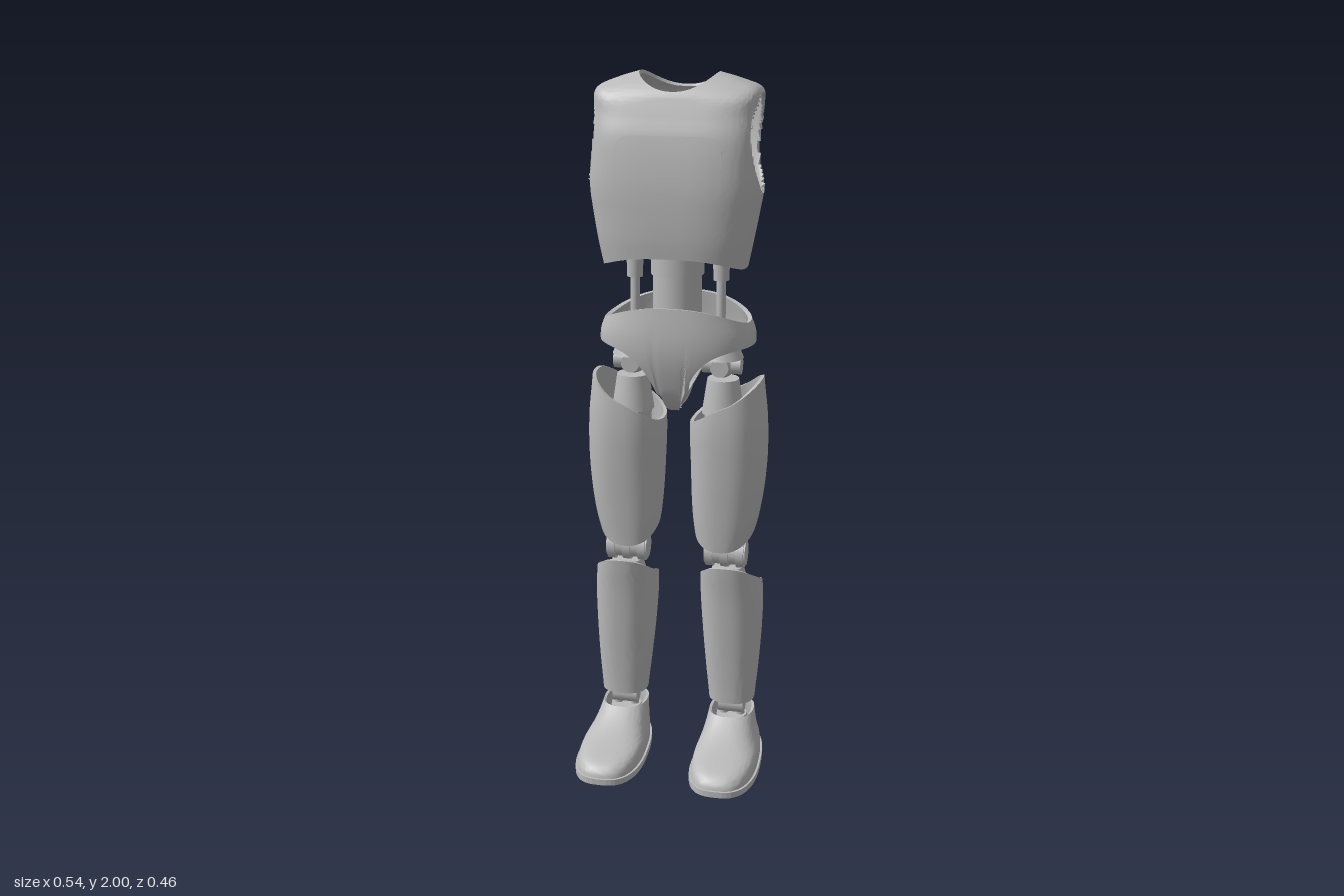
import * as THREE from 'three';
import { toCreasedNormals } from 'three/addons/utils/BufferGeometryUtils.js';

const grey = new THREE.MeshStandardMaterial({ color: 0xbababa });
grey.name = 'plain grey';

function mesh(parent, name, geometry, x = 0, y = 0, z = 0) {
  const m = new THREE.Mesh(geometry, grey);
  m.name = name;
  m.position.set(x, y, z);
  parent.add(m);
  return m;
}

// Smooth (Catmull-Rom) lookup in a table of evenly spaced rows, t in 0..1
function sample(rows, t) {
  const last = rows.length - 1;
  const f = THREE.MathUtils.clamp(t, 0, 1) * last;
  const i = Math.min(Math.floor(f), last - 1), k = f - i;
  const [p, q, r, s] = [rows[Math.max(i - 1, 0)], rows[i], rows[i + 1], rows[Math.min(i + 2, last)]];
  return q.map((b, n) => {
    const a = p[n], c = r[n], d = s[n];
    return b + 0.5 * k * (c - a + k * (2 * a - 5 * b + 4 * c - d + k * (3 * (b - c) + d - a)));
  });
}

const pow = (v, n) => Math.sign(v) * Math.pow(Math.abs(v), 2 / n);

// Point on a rounded section: half width a, front zf, back zb, roundness n
function section(angle, cx, a, zf, zb, n) {
  const mid = (zf + zb) / 2, half = (zf - zb) / 2;
  return [cx + a * pow(Math.cos(angle), n), mid + half * pow(Math.sin(angle), n)];
}

// Thick shell from a surface f(angle, v) closed around; vertices inside `hole` are snapped to its edge
function shell(nu, nv, f, thickness, hole = () => false) {
  const pts = [], inside = [], tris = [];
  for (let j = 0; j <= nv; j++) for (let i = 0; i < nu; i++) {
    const p = new THREE.Vector3(...f((i / nu) * Math.PI * 2, j / nv));
    inside.push(hole(p));
    pts.push(p);
  }
  for (let j = 0; j < nv; j++) for (let i = 0; i < nu; i++) {
    const a = j * nu + i, b = j * nu + (i + 1) % nu, c = b + nu, d = a + nu;
    if ([a, b, c, d].every(k => inside[k])) continue;
    tris.push([a, d, b], [b, d, c]);
  }
  const skin = new THREE.BufferGeometry().setFromPoints(pts);
  skin.setIndex(tris.flat());
  skin.computeVertexNormals();
  const normal = skin.attributes.normal, N = pts.length;
  const inner = pts.map((p, i) => new THREE.Vector3().fromBufferAttribute(normal, i).multiplyScalar(-thickness).add(p));
  const index = tris.flat(), edges = new Set();
  for (const t of tris) {
    index.push(t[2] + N, t[1] + N, t[0] + N);
    t.forEach((p, k) => edges.add(p + '_' + t[(k + 1) % 3]));
  }
  // rims join the outer and inner skins along open edges
  for (const e of edges) {
    const [p, q] = e.split('_').map(Number);
    if (!edges.has(q + '_' + p)) index.push(q, p, p + N, q, p + N, q + N);
  }
  const g = new THREE.BufferGeometry().setFromPoints([...pts, ...inner]);
  g.setIndex(index);
  return toCreasedNormals(g, 0.8);
}

const rod = (r0, r1, h) => new THREE.CylinderGeometry(r0, r1, h, 24);
const axle = (r, h) => rod(r, r, h).rotateZ(Math.PI / 2);

// Torso rows: height, half width, front z, back z, roundness, extra height at the sides
const TORSO = [
  [1.520, 0.198, 0.073, -0.165, 2.8, -0.035],
  [1.570, 0.212, 0.078, -0.170, 2.9, -0.015],
  [1.630, 0.225, 0.080, -0.188, 3.0, 0],
  [1.700, 0.234, 0.079, -0.210, 3.3, 0],
  [1.770, 0.230, 0.072, -0.226, 3.8, 0],
  [1.840, 0.226, 0.060, -0.232, 4.2, 0],
  [1.890, 0.223, 0.043, -0.228, 4.2, 0.01],
  [1.925, 0.221, 0.030, -0.218, 4.0, 0.03],
  [1.945, 0.170, 0.022, -0.208, 3.0, 0.036],
  [1.955, 0.108, 0.015, -0.200, 2.2, 0.045],
];

function torsoPoint(angle, v) {
  const [y, a, zf, zb, n, rise] = sample(TORSO, v);
  let [x, z] = section(angle, 0, a, zf, zb, n);
  // shallow groove along the spine
  if (Math.sin(angle) < 0) z += 0.014 * Math.exp(-((x / 0.04) ** 2)) * (1 - v);
  return [x, y + rise * Math.cos(angle) ** 2, z];
}

function armHole(p) {
  if (Math.abs(p.x) < 0.1) return false;
  const r = Math.hypot((p.z + 0.09) / 0.11, (p.y - 1.815) / 0.135);
  if (r >= 1) return false;
  const k = 1 / Math.max(r, 0.01);
  p.z = -0.09 + (p.z + 0.09) * k;
  p.y = 1.815 + (p.y - 1.815) * k;
  return true;
}

function panelPoint(angle, v) {
  const x = 0.143 * v * pow(Math.cos(angle), 7), y = 1.764 + 0.082 * v * pow(Math.sin(angle), 7);
  const [, a, zf, zb, n] = sample(TORSO, (y - 1.49) / 0.07 / 9);
  const half = (zf - zb) / 2;
  return [x, y, zf - half + half * Math.pow(1 - Math.pow(Math.abs(x) / a, n), 1 / n) + 0.005];
}

function floorPoint(angle, v) {
  const r = 1 - v;
  const [x, z] = section(angle, 0, 0.222 * r, -0.055 + 0.125 * r, -0.055 - 0.13 * r, 3);
  return [x, 1.58 + 0.06 * r * r, z];
}

// Pelvis bowl rows: height, scale, extra height at front and back
const PELVIS = [
  [1.060, 0, 0], [1.075, 0.45, 0], [1.120, 0.76, 0], [1.180, 0.92, 0],
  [1.240, 1.01, 0], [1.290, 1.02, 0.01], [1.328, 0.96, 0.052],
];

function bowlPoint(angle, v) {
  const [y, s, rise] = sample(PELVIS, v);
  const [x, z] = section(angle, 0, 0.214 * s, -0.077 + 0.137 * s, -0.077 - 0.137 * s, 2.4);
  return [x, y + rise * Math.sin(angle) ** 2, z];
}

// Each column of the bowl starts at the leg opening
function pelvisPoint(angle, v) {
  const below = ([x, y]) => y < 1.27 - 0.215 * Math.exp(-(Math.abs(x) - 0.016) / 0.05);
  let lo = 0, hi = 1;
  if (below(bowlPoint(angle, 0.02)) || below(bowlPoint(angle, 0.3))) {
    for (let i = 0; i < 24; i++) {
      const m = (lo + hi) / 2;
      if (below(bowlPoint(angle, m))) lo = m; else hi = m;
    }
  }
  return bowlPoint(angle, lo + (1 - lo) * v);
}

// Leg rows: centre x, half width, front z, back z
const THIGH = [
  [0.135, 0.068, 0.015, -0.130], [0.143, 0.095, 0.025, -0.160], [0.148, 0.107, 0.035, -0.192],
  [0.147, 0.108, 0.040, -0.197], [0.150, 0.092, 0.032, -0.185],
];
const SHIN = [
  [0.163, 0.066, -0.025, -0.148], [0.162, 0.077, -0.018, -0.168], [0.160, 0.086, -0.008, -0.192],
  [0.157, 0.090, 0.002, -0.200], [0.152, 0.083, 0.015, -0.165],
];

const legPoint = (rows, y0, y1, bottom, top) => (angle, v) => {
  const c = Math.cos(angle), s = Math.sin(angle);
  const y = THREE.MathUtils.lerp(bottom(c, s), top(c, s), v);
  const [x, z] = section(angle, ...sample(rows, (y - y0) / (y1 - y0)), 2.4);
  return [x, y, z];
};

// Foot outline, narrower at the heel
function footOutline(angle, grow) {
  const [x, z] = section(angle, 0, 0.095 + grow, 0.222 + grow, -0.172 - grow, 2.8);
  return [0.17 + x * (0.91 + 0.09 * THREE.MathUtils.smoothstep(z, -0.15, 0.1)), z];
}

function footPoint(angle, v) {
  const [ox, oz] = footOutline(angle, 0);
  const [rx, rz] = section(angle, 0.163, 0.066, -0.015, -0.165, 2.4);
  const e = Math.pow(v, 1.6);
  const y = 0.018 + 0.045 * (1 - (1 - v) ** 4) + 0.066 * v ** 4;
  return [ox + (rx - ox) * e, y, oz + (rz - oz) * e];
}

function buildLeg() {
  const leg = new THREE.Group();
  // hip joint
  mesh(leg, 'hipBall', new THREE.SphereGeometry(0.038, 24, 16), 0.127, 1.2, -0.07);
  mesh(leg, 'hipAxle', axle(0.026, 0.11), 0.127, 1.2, -0.07);
  mesh(leg, 'hipPin', rod(0.026, 0.026, 0.1).rotateX(Math.PI / 2), 0.127, 1.2, -0.07);
  mesh(leg, 'hipBracket', rod(0.04, 0.06, 0.05), 0.127, 1.245, -0.07);
  mesh(leg, 'hipCollar', rod(0.045, 0.06, 0.1), 0.13, 1.11, -0.07);
  // thigh
  mesh(leg, 'thighCore', rod(0.058, 0.045, 0.36), 0.135, 0.88, -0.07);
  mesh(leg, 'thighShell', shell(56, 24, legPoint(THIGH, 0.62, 1.18,
    (c, s) => 0.715 - 0.05 * s, c => 1.1 + 0.065 * c), 0.01));
  // knee
  for (const [y, r] of [[0.745, 0.052], [0.72, 0.044], [0.695, 0.05]])
    mesh(leg, 'kneeRing', rod(r, r, 0.018), 0.143, y, -0.065);
  mesh(leg, 'kneeHub', axle(0.036, 0.12), 0.145, 0.64, -0.06);
  for (const dx of [-0.045, 0, 0.045])
    mesh(leg, 'kneeDisc', axle(0.043, 0.022), 0.145 + dx, 0.64, -0.06);
  mesh(leg, 'kneeBase', rod(0.045, 0.062, 0.06), 0.15, 0.565, -0.07);
  // shin
  mesh(leg, 'shinCore', rod(0.055, 0.035, 0.36), 0.157, 0.36, -0.085);
  mesh(leg, 'shinShell', shell(56, 24, legPoint(SHIN, 0.15, 0.63,
    () => 0.17, (c, s) => 0.555 + 0.06 * s), 0.01));
  // ankle
  mesh(leg, 'ankleAxle', axle(0.03, 0.075), 0.163, 0.145, -0.09);
  for (const dx of [-0.025, 0.025]) mesh(leg, 'ankleRod', rod(0.013, 0.013, 0.14), 0.163 + dx, 0.14, -0.09);
  mesh(leg, 'ankleBase', rod(0.045, 0.055, 0.06), 0.163, 0.08, -0.09);
  // foot
  mesh(leg, 'footShell', shell(56, 20, footPoint, 0.008));
  const outline = Array.from({ length: 56 }, (_, i) => new THREE.Vector2(...footOutline((i / 56) * Math.PI * 2, 0.006)));
  const sole = new THREE.ExtrudeGeometry(new THREE.Shape(outline), { depth: 0.018, bevelEnabled: false });
  mesh(leg, 'sole', sole.rotateX(Math.PI / 2), 0, 0.018, 0);
  return leg;
}

export function createModel() {
  const model = new THREE.Group();
  model.name = 'robotBody';

  // torso
  mesh(model, 'torsoShell', shell(112, 60, torsoPoint, 0.01, armHole));
  mesh(model, 'chestPanel', shell(64, 10, panelPoint, 0.009));
  mesh(model, 'torsoFloor', shell(48, 8, floorPoint, 0.006));

  // waist
  mesh(model, 'waistColumn', rod(0.068, 0.068, 0.34), 0, 1.41, -0.065);
  mesh(model, 'waistCollar', rod(0.074, 0.074, 0.07), 0, 1.49, -0.065);
  for (const side of [-1, 1]) {
    mesh(model, 'strutRod', rod(0.013, 0.013, 0.3), side * 0.122, 1.4, -0.07);
    mesh(model, 'strutSleeve', rod(0.026, 0.022, 0.16), side * 0.122, 1.52, -0.07);
  }

  // pelvis
  mesh(model, 'pelvisShell', shell(112, 30, pelvisPoint, 0.012));
  mesh(model, 'hipCrossbar', axle(0.035, 0.3), 0, 1.265, -0.07);

  // legs
  const left = buildLeg();
  left.name = 'leftLeg';
  const right = buildLeg();
  right.name = 'rightLeg';
  right.scale.x = -1;
  model.add(left, right);
  return model;
}
